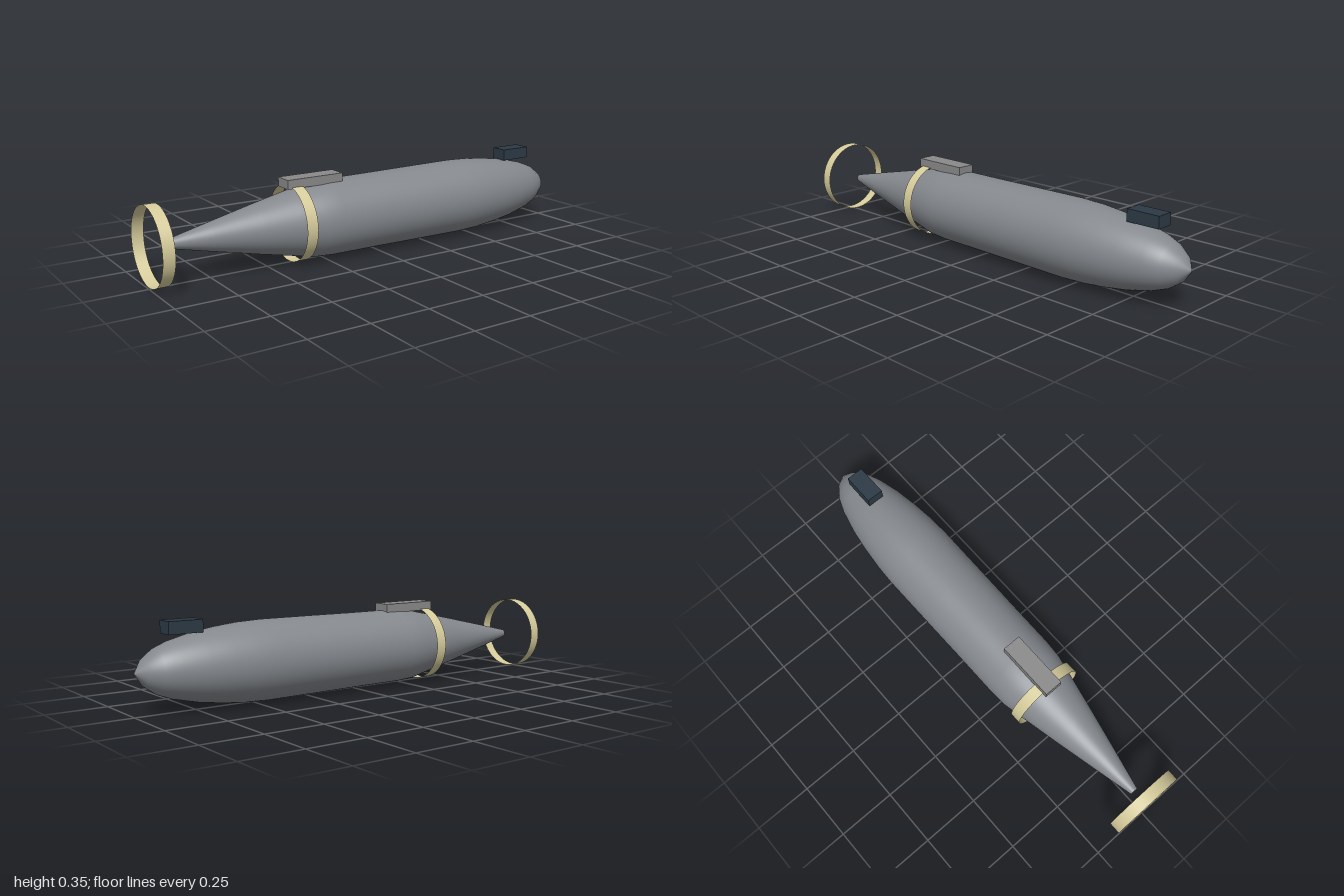
import * as THREE from 'three';

const AXIS_Y = 0.165;

function material(name, color, side = THREE.FrontSide) {
  const m = new THREE.MeshStandardMaterial({ color, side });
  m.name = name;
  return m;
}

export function createModel() {
  const model = new THREE.Group();
  model.name = 'torpedo';

  const hullGrey = material('hull grey', 0x85898e);
  const plateGrey = material('plate grey', 0x8a8a8a);
  const brass = material('pale brass', 0xd6cc9c, THREE.DoubleSide);
  const slate = material('dark slate', 0x2c3a46);

  const add = (name, geometry, mat, x, y) => {
    const mesh = new THREE.Mesh(geometry, mat);
    mesh.name = name;
    mesh.position.set(x, y, 0);
    model.add(mesh);
  };

  // Hull: radius along the long axis, tail to nose
  const profile = [
    [-0.92, 0.017], [-0.75, 0.056], [-0.55, 0.101], [-0.4, 0.133], [-0.3, 0.154],
    [-0.22, 0.159], [0, 0.16], [0.2, 0.162], [0.45, 0.164], [0.55, 0.16],
    [0.65, 0.15], [0.75, 0.135], [0.85, 0.111], [0.91, 0.088], [0.96, 0.053], [0.995, 0.004],
  ].map(([x, r]) => new THREE.Vector2(r, x));
  profile.push(new THREE.Vector2(0, 0.997));
  add('hull', new THREE.LatheGeometry(profile, 64).rotateZ(-Math.PI / 2), hullGrey, 0, AXIS_Y);
  add('tailCap', new THREE.CircleGeometry(0.017, 32).rotateY(-Math.PI / 2), hullGrey, -0.92, AXIS_Y);

  // Thin bands: one around the hull, one behind the tail
  for (const [name, x] of [['hullRing', -0.375], ['tailRing', -0.975]]) {
    const ring = new THREE.CylinderGeometry(0.16, 0.16, 0.05, 64, 1, true).rotateZ(Math.PI / 2);
    add(name, ring, brass, x, AXIS_Y + 0.002);
  }

  // Blocks on top of the hull
  add('topPlate', new THREE.BoxGeometry(0.256, 0.038, 0.08), plateGrey, -0.29, 0.335);
  add('noseBlock', new THREE.BoxGeometry(0.143, 0.05, 0.074), slate, 0.8, 0.327);

  return model;
}
